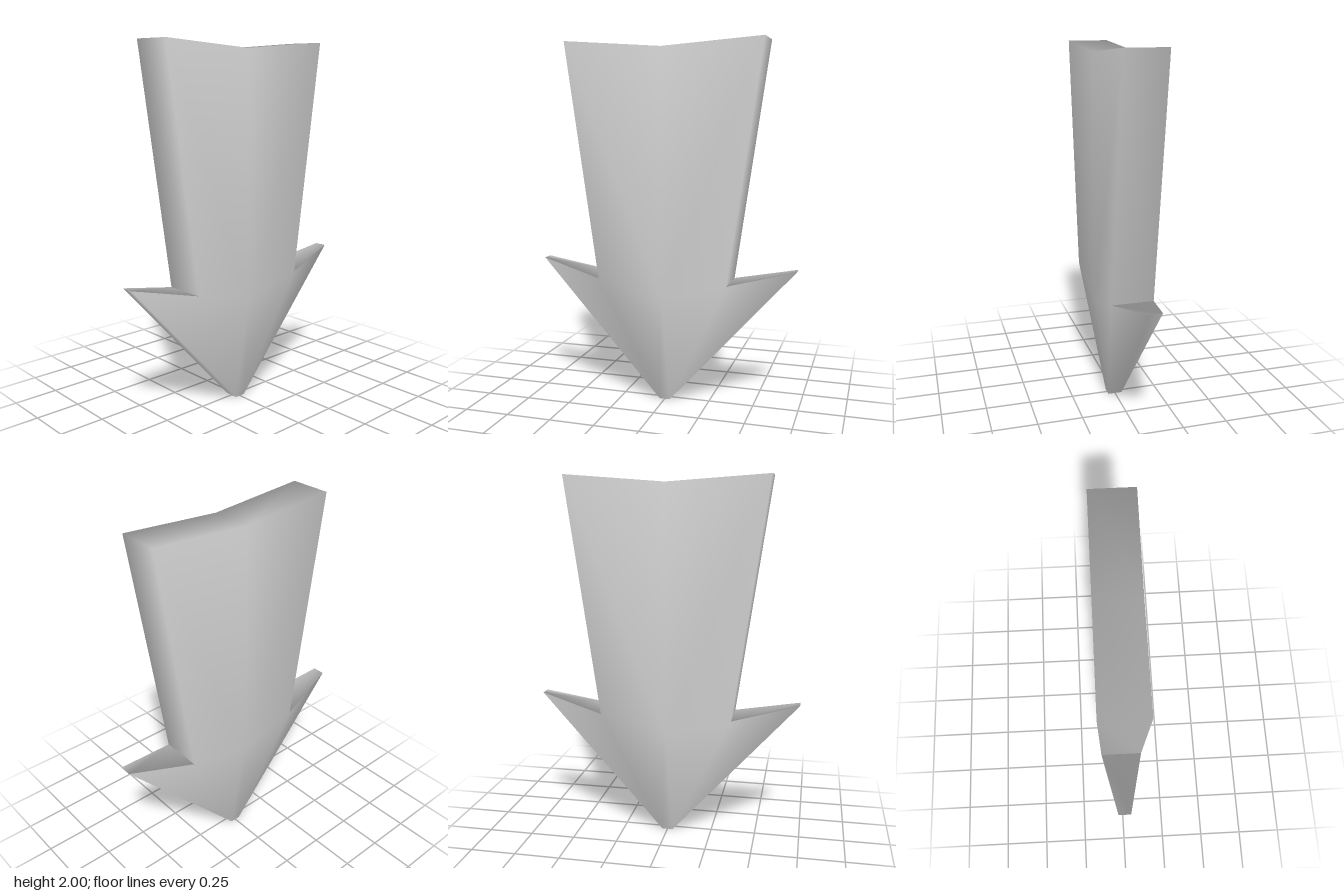
import * as THREE from 'three';

// Downward arrow: a thick plate whose barbs and tip are thinner than the shaft.
export function createModel() {
  const group = new THREE.Group();
  const grey = new THREE.MeshStandardMaterial({ color: 0xcccccc });
  grey.name = 'light grey';

  // outline as [z, y, half thickness], from the back top corner round the front
  const outline = [
    [-0.55, 2, 0.115], [0, 1.96, 0.115], [0.55, 2, 0.115],   // notched tail
    [0.365, 0.695, 0.115], [0.73, 0.78, 0.035],              // front notch and barb
    [0.03, 0, 0.04], [-0.03, 0, 0.04],                       // blunt tip
    [-0.73, 0.78, 0.035], [-0.365, 0.695, 0.115],            // back barb and notch
  ];
  const centre = [0, 0.6, 0.115];
  const rings = [...outline, centre];
  const n = outline.length, count = rings.length, c = n;

  const positions = [];
  for (const side of [1, -1])
    for (const [z, y, h] of rings) positions.push(side * h, y, z);

  const index = [];
  // broad faces: a fan round the centre plus one triangle for each barb
  const faces = [[3, 4, 5], [6, 7, 8]];
  const body = [0, 1, 2, 3, 5, 6, 8];
  body.forEach((a, i) => faces.push([c, a, body[(i + 1) % body.length]]));
  for (const [a, b, d] of faces)
    index.push(a, b, d, a + count, d + count, b + count);

  // rim joining the two broad faces
  for (let i = 0; i < n; i++) {
    const j = (i + 1) % n;
    index.push(j, i, i + count, j, i + count, j + count);
  }

  const geometry = new THREE.BufferGeometry();
  geometry.setAttribute('position', new THREE.Float32BufferAttribute(positions, 3));
  geometry.setIndex(index);
  geometry.computeVertexNormals();

  const arrow = new THREE.Mesh(geometry, grey);
  arrow.name = 'arrow';
  group.add(arrow);
  return group;
}
